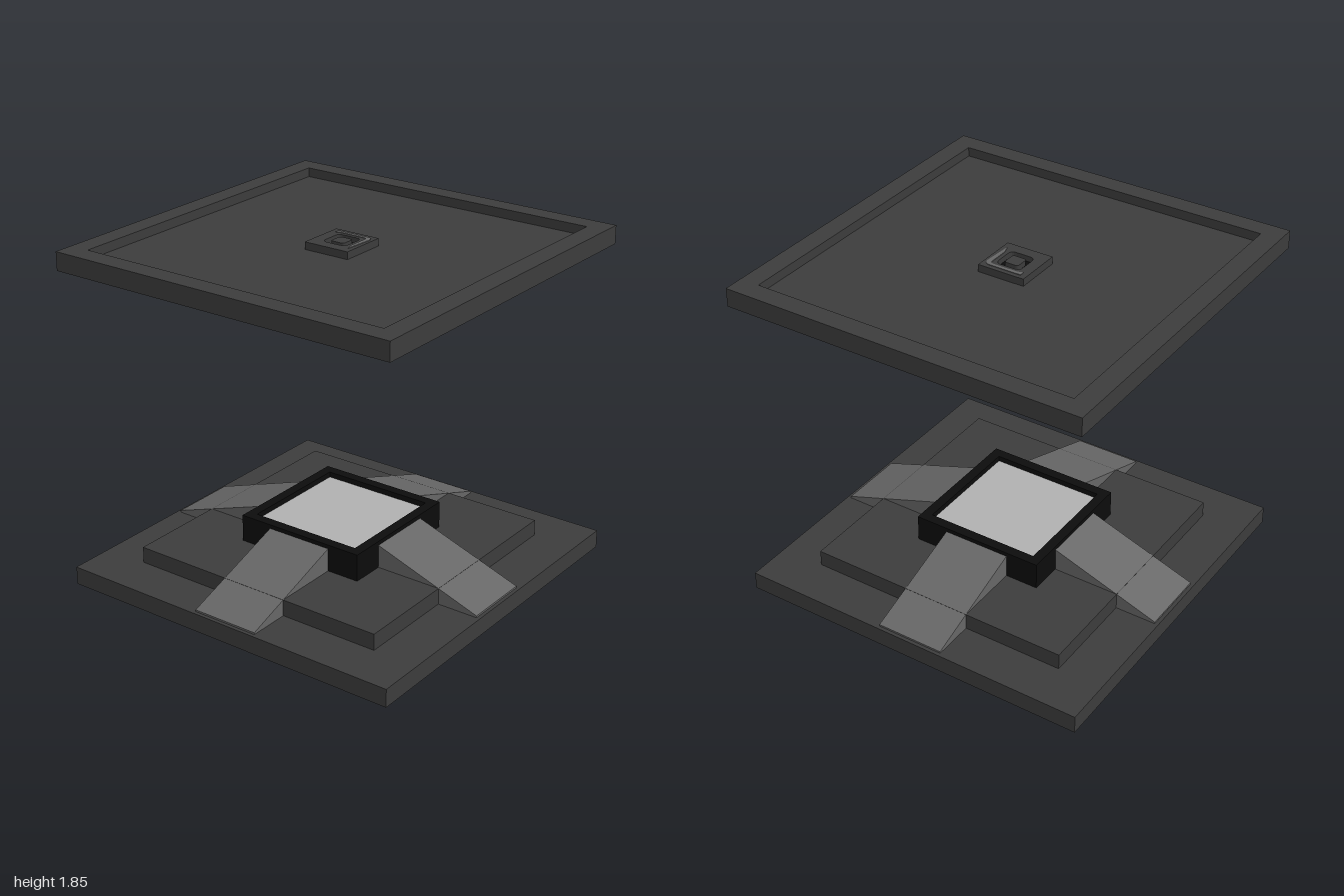
import * as THREE from 'three';

const mat = (name, color) => {
  const m = new THREE.MeshStandardMaterial({ color });
  m.name = name;
  return m;
};

export function createModel() {
  const model = new THREE.Group();
  model.name = 'transferPad';
  const slabGrey = mat('dark grey', 0x3c3c3c);
  const black = mat('black', 0x0c0c0c);
  const rampGrey = mat('mid grey', 0x666666);
  const panelGrey = mat('light grey', 0xb0b0b0);

  const add = (name, geometry, material) => {
    const mesh = new THREE.Mesh(geometry, material);
    mesh.name = name;
    model.add(mesh);
    return mesh;
  };
  // square slab given by half width and height range
  const slab = (name, half, y0, y1, material) =>
    add(name, new THREE.BoxGeometry(half * 2, y1 - y0, half * 2).translate(0, (y0 + y1) / 2, 0), material);
  // closed square outline with optional rounded corners
  const square = (Type, h, r = 0) => {
    const s = new Type();
    s.moveTo(-h + r, -h);
    s.lineTo(h - r, -h);
    if (r) s.quadraticCurveTo(h, -h, h, -h + r);
    s.lineTo(h, h - r);
    if (r) s.quadraticCurveTo(h, h, h - r, h);
    s.lineTo(-h + r, h);
    if (r) s.quadraticCurveTo(-h, h, -h, h - r);
    s.lineTo(-h, -h + r);
    if (r) s.quadraticCurveTo(-h, -h, -h + r, -h);
    return s;
  };
  // horizontal shape raised from y0 to y1
  const raise = (shape, y0, y1) =>
    new THREE.ExtrudeGeometry(shape, { depth: y1 - y0, bevelEnabled: false, curveSegments: 4 })
      .rotateX(-Math.PI / 2).translate(0, y0, 0);
  // square frame with a square hole
  const frame = (name, outer, inner, y0, y1, material, r = 0) => {
    const s = square(THREE.Shape, outer);
    s.holes.push(square(THREE.Path, inner, r));
    return add(name, raise(s, y0, y1), material);
  };

  // base
  slab('baseSlab', 1, 0, 0.1, slabGrey);
  slab('baseStep', 0.75, 0.1, 0.19, slabGrey);
  frame('padFrame', 0.375, 0.32, 0.19, 0.34, black);
  slab('padPanel', 0.32, 0.19, 0.31, panelGrey);

  // four ramps leading up to the pad
  const side = new THREE.Shape([
    new THREE.Vector2(0.37, 0.1), new THREE.Vector2(0.98, 0.1),
    new THREE.Vector2(0.98, 0.11), new THREE.Vector2(0.37, 0.32),
  ]);
  const wedge = new THREE.ExtrudeGeometry(side, { depth: 0.38, bevelEnabled: false }).translate(0, 0, -0.19);
  for (let i = 0; i < 4; i++) add('ramp' + (i + 1), wedge, rampGrey).rotation.y = i * Math.PI / 2;

  // hovering canopy with its underside emitter
  slab('canopySlab', 1, 1.75, 1.8, slabGrey);
  frame('canopyRim', 1, 0.89, 1.8, 1.85, slabGrey);
  slab('canopyStep', 0.75, 1.65, 1.75, slabGrey);
  frame('emitterFrame', 0.375, 0.32, 1.55, 1.65, black);
  slab('emitterPanel', 0.32, 1.6, 1.65, panelGrey);

  // socket in the middle of the canopy top
  frame('socketBlock', 0.132, 0.07, 1.8, 1.84, slabGrey, 0.03);
  slab('socketFloor', 0.075, 1.8, 1.81, black);
  add('socketPost', raise(square(THREE.Shape, 0.04, 0.015), 1.805, 1.84), slabGrey);

  // curved light trim around the back and left of the socket
  const trim = new THREE.Shape();
  trim.moveTo(-0.1, 0.08);
  trim.lineTo(-0.1, 0.108);
  trim.lineTo(0.08, 0.108);
  trim.quadraticCurveTo(0.116, 0.108, 0.116, 0.07);
  trim.lineTo(0.105, -0.09);
  trim.lineTo(0.09, -0.04);
  trim.lineTo(0.09, 0.07);
  trim.quadraticCurveTo(0.09, 0.09, 0.07, 0.09);
  trim.lineTo(-0.07, 0.09);
  add('socketTrim', raise(trim, 1.838, 1.843), rampGrey);

  return model;
}
